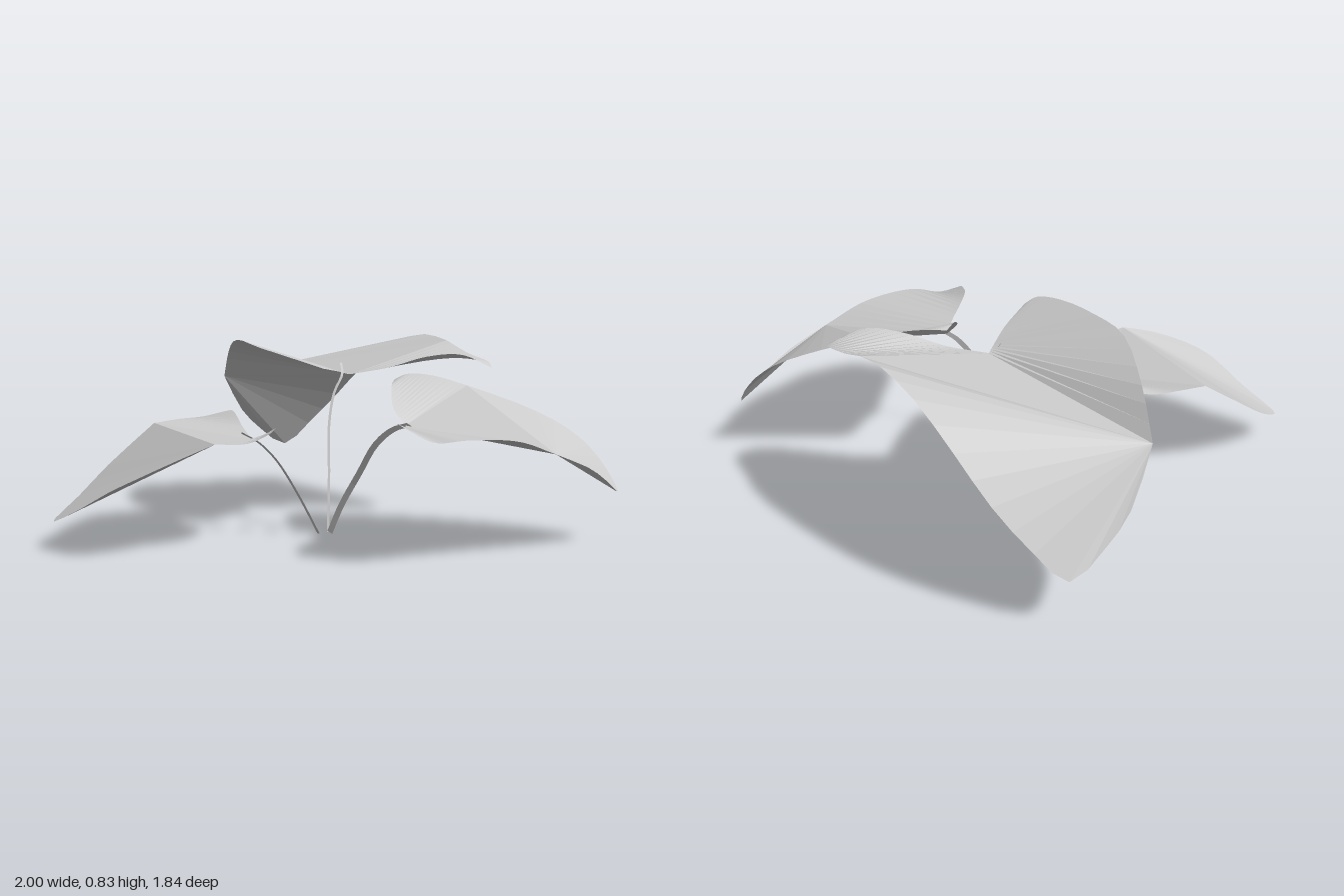
import * as THREE from 'three';

const material = new THREE.MeshStandardMaterial({ color: 0xcccccc, flatShading: true, side: THREE.DoubleSide });
const STEPS = 18;

// Samples a smooth rail through a few points; a single point gives a fan centre
function rail(points) {
  const v = points.map((p) => new THREE.Vector3(...p));
  if (v.length === 1) return Array(STEPS + 1).fill(v[0]);
  return new THREE.CatmullRomCurve3(v, false, 'centripetal').getPoints(STEPS);
}

// Fills the strip between two sampled rails with triangles
function strip(a, b, out) {
  const add = (p, q, r) => {
    const area = q.clone().sub(p).cross(r.clone().sub(p)).length();
    if (area > 1e-7) out.push(p, q, r);
  };
  for (let i = 0; i < STEPS; i++) {
    add(a[i], b[i], a[i + 1]);
    add(a[i + 1], b[i], b[i + 1]);
  }
}

function mesh(name, vertices) {
  const geometry = new THREE.BufferGeometry().setFromPoints(vertices);
  geometry.computeVertexNormals();
  const m = new THREE.Mesh(geometry, material);
  m.name = name;
  return m;
}

// blade: crease end -> far side; shoulder: far side -> upper lobe tip;
// inner: stem notch -> upper lobe tip; lobe: crease end -> lower lobe tip;
// notch: stem notch -> lower lobe tip
function leaf(name, { blade, shoulder, inner, lobe, notch }) {
  const out = [];
  strip(rail([blade[0]]), rail(blade), out);
  const corner = [blade[0], blade[blade.length - 1], inner[0]];
  out.push(...corner.map((p) => new THREE.Vector3(...p)));
  strip(rail(shoulder), rail(inner), out);
  strip(rail(lobe), rail(notch), out);
  return mesh(name, out);
}

// Flat ribbon stem, widened along the given direction
function stem(name, points, across) {
  const half = new THREE.Vector3(...across).setLength(0.013);
  const mid = rail(points);
  const out = [];
  strip(mid.map((p) => p.clone().sub(half)), mid.map((p) => p.clone().add(half)), out);
  return mesh(name, out);
}

export function createModel() {
  const group = new THREE.Group();
  group.name = 'threeLeafPlant';

  // Large leaf, rear right
  group.add(leaf('largeLeaf', {
    blade: [[-0.95, 0.6, -0.32], [-1, 0.41, -0.48], [-0.99, 0.3, -0.6], [-0.955, 0.21, -0.74], [-0.86, 0.32, -0.82],
      [-0.72, 0.48, -0.89], [-0.56, 0.64, -0.92], [-0.35, 0.77, -0.92], [-0.15, 0.82, -0.91], [0, 0.8, -0.89]],
    shoulder: [[0, 0.8, -0.89], [0.15, 0.75, -0.865], [0.29, 0.72, -0.84], [0.335, 0.7, -0.8]],
    inner: [[-0.12, 0.67, -0.36], [0, 0.7, -0.48], [0.13, 0.75, -0.59], [0.25, 0.76, -0.69], [0.335, 0.7, -0.8]],
    lobe: [[-0.95, 0.6, -0.32], [-0.8, 0.74, -0.22], [-0.58, 0.815, -0.08], [-0.35, 0.8, 0], [-0.12, 0.775, 0.04],
      [0.01, 0.75, 0.025], [0.025, 0.73, -0.03]],
    notch: [[-0.12, 0.67, -0.36], [-0.08, 0.68, -0.29], [-0.03, 0.7, -0.19], [0.025, 0.73, -0.03]],
  }));

  // Medium leaf, left side
  group.add(leaf('leftLeaf', {
    blade: [[0.96, 0.43, -0.4], [0.995, 0.35, -0.6], [0.99, 0.27, -0.75], [0.97, 0.21, -0.865], [0.89, 0.3, -0.89],
      [0.8, 0.4, -0.87], [0.7, 0.48, -0.82], [0.55, 0.56, -0.73], [0.36, 0.64, -0.59]],
    shoulder: [[0.36, 0.64, -0.59], [0.25, 0.68, -0.5], [0.17, 0.69, -0.42], [0.15, 0.67, -0.35]],
    inner: [[0.38, 0.51, -0.16], [0.32, 0.57, -0.155], [0.22, 0.65, -0.25], [0.15, 0.67, -0.35]],
    lobe: [[0.96, 0.43, -0.4], [0.92, 0.5, -0.2], [0.84, 0.52, 0.02], [0.75, 0.51, 0.1], [0.64, 0.56, 0.15]],
    notch: [[0.38, 0.51, -0.16], [0.46, 0.52, -0.06], [0.52, 0.545, 0.04], [0.57, 0.565, 0.11], [0.64, 0.56, 0.15]],
  }));

  // Small leaf, front right
  group.add(leaf('frontLeaf', {
    blade: [[-0.04, 0.46, 0.52], [-0.09, 0.41, 0.66], [-0.18, 0.34, 0.8], [-0.28, 0.28, 0.87], [-0.45, 0.19, 0.89],
      [-0.61, 0.115, 0.915], [-0.65, 0.12, 0.88], [-0.68, 0.19, 0.74], [-0.69, 0.3, 0.58], [-0.655, 0.465, 0.35]],
    shoulder: [[-0.655, 0.465, 0.35], [-0.62, 0.475, 0.23], [-0.58, 0.48, 0.13], [-0.53, 0.5, 0.04]],
    inner: [[-0.22, 0.42, 0.16], [-0.35, 0.46, 0.1], [-0.46, 0.51, 0.055], [-0.53, 0.5, 0.04]],
    lobe: [[-0.04, 0.46, 0.52], [-0.005, 0.45, 0.38], [-0.01, 0.475, 0.25], [-0.05, 0.49, 0.17]],
    notch: [[-0.22, 0.42, 0.16], [-0.15, 0.45, 0.14], [-0.1, 0.475, 0.14], [-0.05, 0.49, 0.17]],
  }));

  // Stems
  group.add(stem('largeLeafStem', [[-0.01, 0, -0.1], [-0.02, 0.25, -0.115], [-0.04, 0.47, -0.135],
    [-0.065, 0.6, -0.19], [-0.11, 0.675, -0.29], [-0.17, 0.72, -0.345]], [0.35, 0.2, 1]));
  group.add(stem('leftLeafStem', [[0, 0, -0.1], [0.06, 0.13, -0.11], [0.15, 0.28, -0.125],
    [0.25, 0.42, -0.12], [0.33, 0.49, -0.14], [0.4, 0.515, -0.16]], [-0.7, 0.5, 0.4]));
  group.add(stem('frontLeafStem', [[-0.02, 0, -0.05], [-0.08, 0.18, 0.02], [-0.14, 0.33, 0.09],
    [-0.19, 0.41, 0.15], [-0.24, 0.45, 0.2]], [1, 0.25, 0.4]));

  return group;
}
